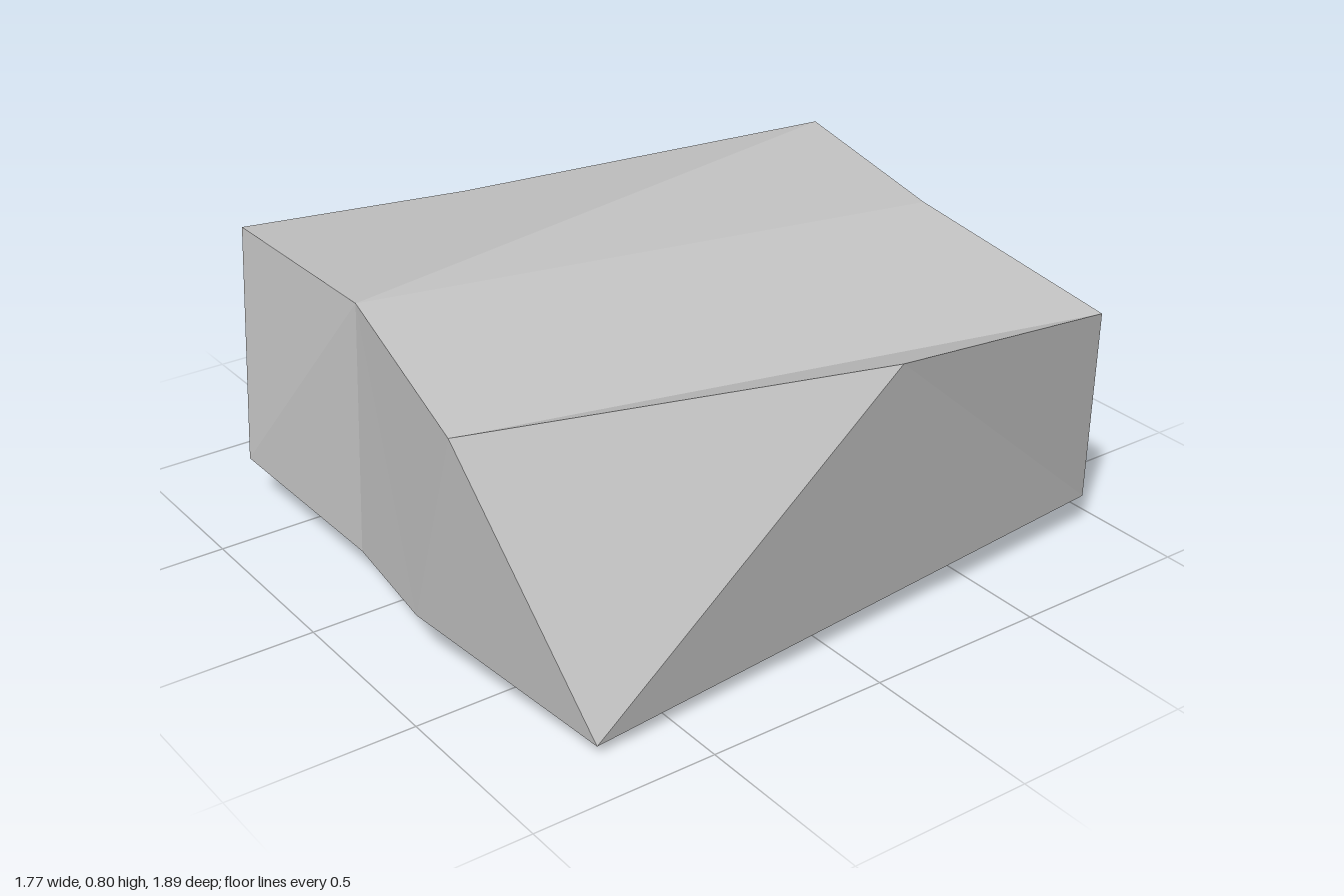
import * as THREE from 'three';

// Upper and lower corner rings, both running from the back around the +x side to the front
const upper = [
  [-0.48, 0.775, -0.985], [0.18, 0.78, -0.82], [0.85, 0.7, -0.825], [0.885, 0.775, -0.13],
  [0.52, 0.74, 0.89], [-0.12, 0.795, 0.76], [-0.83, 0.74, 0.71], [-0.89, 0.65, -0.02],
];
const lower = [
  [-0.735, 0.13, -1.0], [-0.25, 0.09, -0.99], [0.18, 0.13, -0.94], [0.755, 0.1, -0.92],
  [0.85, 0.03, 0.725], [0.27, 0.135, 0.855], [-0.13, 0.095, 0.78], [-0.68, 0.135, 0.815],
  [-0.8, 0, 0.05],
];

// Corner names: u0..u7 on the upper ring, l0..l8 on the lower ring
const corner = (name) => {
  const ring = name[0] === 'u' ? upper : lower;
  return new THREE.Vector3(...ring[Number(name[1])]);
};

// Flat-faced shell from corner triples, each turned away from the rock's centre
function facets(name, triples, material) {
  const centre = new THREE.Vector3(0, 0.4, 0);
  const points = [];
  for (const triple of triples.split(' ')) {
    const [a, b, c] = triple.match(/../g).map(corner);
    const normal = b.clone().sub(a).cross(c.clone().sub(a));
    const outward = normal.dot(a.clone().sub(centre)) > 0;
    points.push(a, ...(outward ? [b, c] : [c, b]));
  }
  const geometry = new THREE.BufferGeometry().setFromPoints(points);
  geometry.computeVertexNormals();
  const mesh = new THREE.Mesh(geometry, material);
  mesh.name = name;
  return mesh;
}

export function createModel() {
  const stone = new THREE.MeshStandardMaterial({ color: 0xc5c5c5, flatShading: true });
  stone.name = 'pale grey stone';

  const rock = new THREE.Group();
  rock.name = 'rock';
  rock.add(
    facets('rockTop', 'u7u6u5 u7u5u0 u0u5u1 u1u5u4 u1u4u2 u2u4u3', stone),
    facets('rockFront', 'u6u5l7 u5l6l7 u5l5l6 u5u4l5 u4l5l4', stone),
    facets('rockLeftSide', 'u4l4u3 u3l4l3 u3l3u2', stone),
    facets('rockBack', 'u2l3u1 u1l3l2 u1l2l1 u1l1u0 u0l1l0', stone),
    facets('rockRightSide', 'u0l0l8 u0l8u7 u7l8l7 u7l7u6', stone),
    facets('rockUnderside', 'l8l7l6 l8l6l1 l8l1l0 l6l4l1 l6l5l4 l1l4l2 l2l4l3', stone),
  );
  return rock;
}
